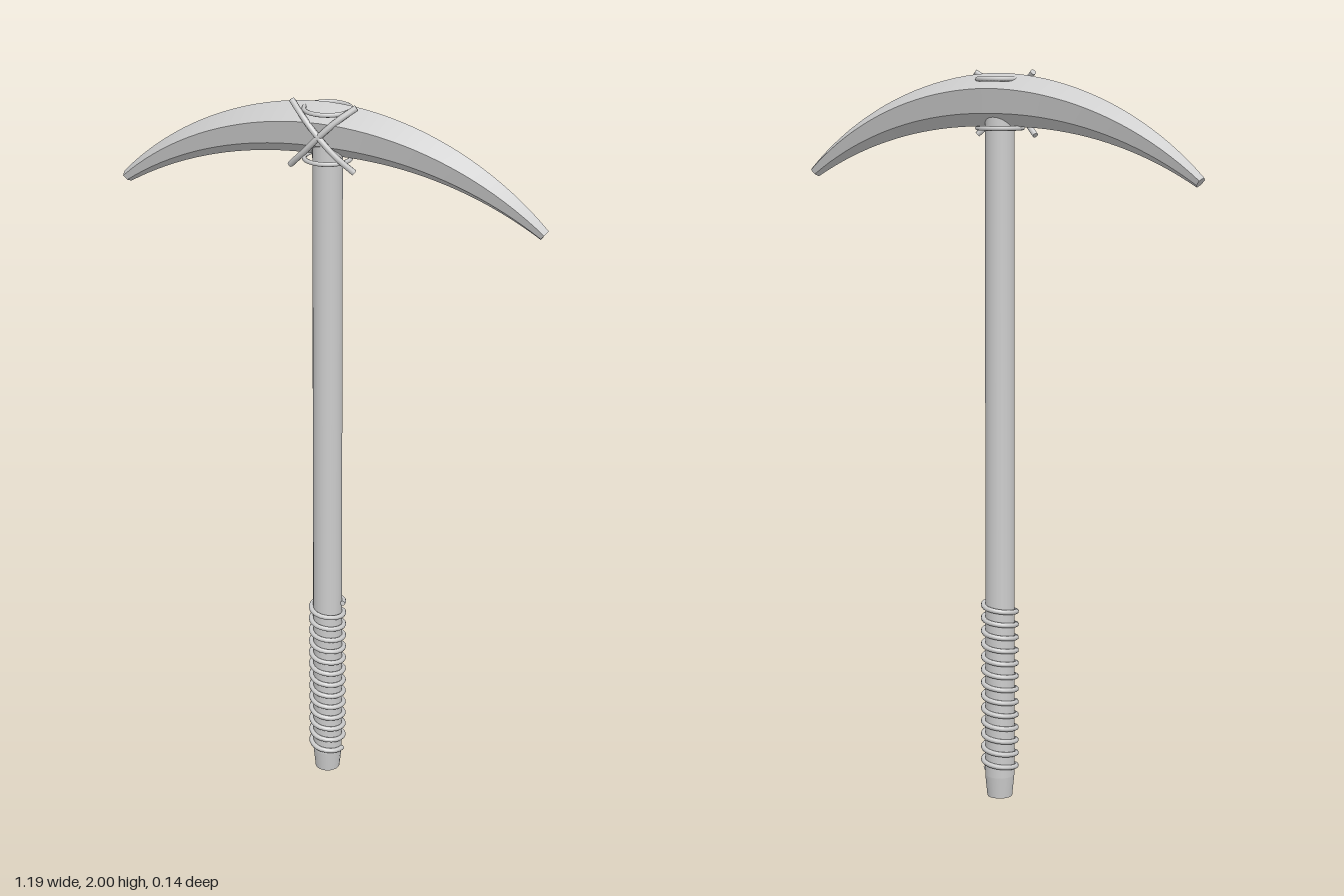
import * as THREE from 'three';

const grey = new THREE.MeshStandardMaterial({ color: 0xcccccc });
grey.name = 'plain grey';
const V = (x, y, z) => new THREE.Vector3(x, y, z);

function add(group, name, geometry) {
  const mesh = new THREE.Mesh(geometry, grey);
  mesh.name = name;
  group.add(mesh);
  return mesh;
}

// Round wire with closed ends
function addWire(group, name, points, radius, segments) {
  const wire = new THREE.Group();
  wire.name = name;
  const curve = new THREE.CatmullRomCurve3(points);
  add(wire, name + 'Tube', new THREE.TubeGeometry(curve, segments, radius, 8));
  for (const t of [0, 1]) {
    const cap = add(wire, name + 'End', new THREE.CircleGeometry(radius, 8));
    const dir = curve.getTangent(t).multiplyScalar(t ? 1 : -1);
    cap.position.copy(curve.getPoint(t));
    cap.quaternion.setFromUnitVectors(V(0, 0, 1), dir);
  }
  group.add(wire);
}

// Curved, tapering head: a six-sided section swept along an arc, sharp along its edges
function headGeometry() {
  const R = 0.941, reach = 0.668, steps = 40, zMid = -0.006;
  const section = [[0, 0.07], [0.062, 0.03], [0.046, -0.035], [0, -0.07], [-0.046, -0.035], [-0.062, 0.03]];
  const n = section.length;
  const point = (i, k) => {
    const t = (i / steps) * 2 - 1, a = t * reach, taper = Math.abs(t) ** 1.5;
    const [w, h] = section[k % n];
    const r = R + h * (1 - 0.77 * taper);
    return [r * Math.sin(a), 1.92 - R + r * Math.cos(a), zMid + w * (1 - 0.7 * taper)];
  };
  const pos = [], idx = [];
  for (let k = 0; k < n; k++) {
    const base = pos.length / 3;
    for (let i = 0; i <= steps; i++) pos.push(...point(i, k), ...point(i, k + 1));
    for (let i = 0; i < steps; i++) {
      const a = base + i * 2;
      idx.push(a, a + 1, a + 2, a + 1, a + 3, a + 2);
    }
  }
  // flat tips
  for (const i of [0, steps]) {
    const base = pos.length / 3;
    for (let k = 0; k < n; k++) pos.push(...point(i, k));
    for (let k = 1; k < n - 1; k++) {
      if (i) idx.push(base, base + k, base + k + 1);
      else idx.push(base, base + k + 1, base + k);
    }
  }
  const g = new THREE.BufferGeometry();
  g.setAttribute('position', new THREE.Float32BufferAttribute(pos, 3));
  g.setIndex(idx);
  g.computeVertexNormals();
  return g;
}

export function createModel() {
  const model = new THREE.Group();
  model.name = 'pickaxe';

  // Handle: long shaft with a tapered butt
  const shaft = add(model, 'handle', new THREE.CylinderGeometry(0.039, 0.041, 1.84, 20, 1, true));
  shaft.position.y = 0.98;
  const butt = add(model, 'handleButt', new THREE.CylinderGeometry(0.041, 0.035, 0.06, 20));
  butt.position.y = 0.03;

  add(model, 'pickHead', headGeometry());

  // Grip: wire wound down the lower handle
  const coil = [], turns = 13, perTurn = 16;
  for (let i = 0; i <= turns * perTurn; i++) {
    const a = (i / perTurn) * Math.PI * 2;
    coil.push(V(0.046 * Math.cos(a), 0.55 - 0.48 * i / (turns * perTurn), -0.046 * Math.sin(a)));
  }
  addWire(model, 'gripWire', coil, 0.007, turns * 20);

  // Binding: a loop above and below the head
  for (const [name, y] of [['upperLoop', 1.974], ['lowerLoop', 1.846]]) {
    const loop = add(model, name, new THREE.TorusGeometry(0.06, 0.006, 8, 40));
    loop.rotation.x = Math.PI / 2;
    loop.position.y = y;
  }

  // Binding: crossed wires on the front
  for (const s of [-1, 1]) {
    addWire(model, s < 0 ? 'crossWireRight' : 'crossWireLeft', [
      V(s * 0.088, 1.992, 0.022), V(s * 0.045, 1.958, 0.048), V(0, 1.915, 0.059),
      V(-s * 0.045, 1.868, 0.053), V(-s * 0.088, 1.827, 0.035)
    ], 0.008, 24);
  }
  return model;
}
